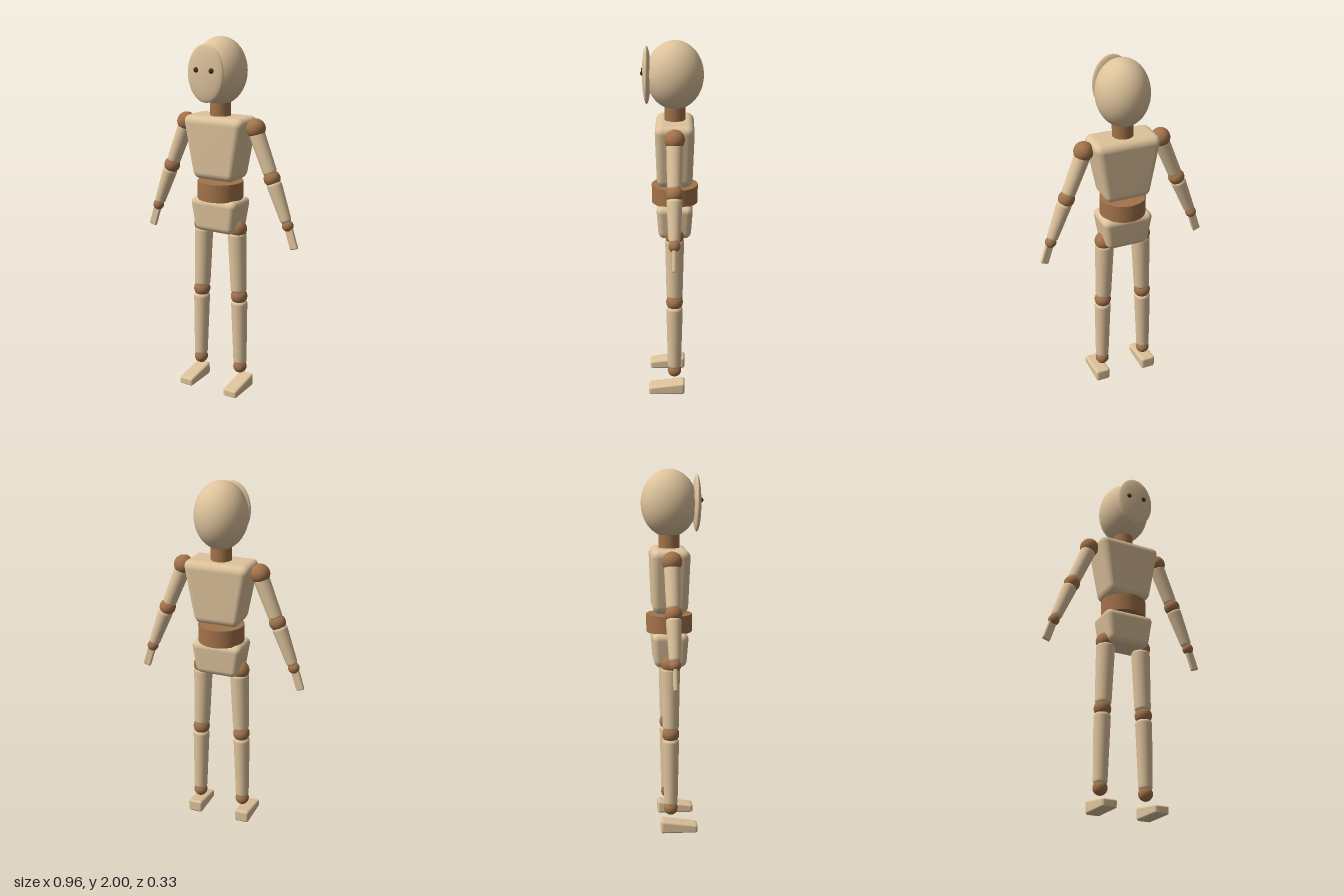
import * as THREE from 'three';
import { RoundedBoxGeometry } from 'three/addons/geometries/RoundedBoxGeometry.js';
import { mergeVertices } from 'three/addons/utils/BufferGeometryUtils.js';

const wood = new THREE.MeshStandardMaterial({ color: 0xdec39c });
const joint = new THREE.MeshStandardMaterial({ color: 0xa3734a });
const dark = new THREE.MeshStandardMaterial({ color: 0x4a3020 });
const BODY_Z = -0.014;

function add(parent, name, geometry, material, x, y, z) {
  const mesh = new THREE.Mesh(geometry, material);
  mesh.name = name;
  mesh.position.set(x, y, z);
  parent.add(mesh);
  return mesh;
}

const ball = (parent, name, r, x, y) =>
  add(parent, name, new THREE.SphereGeometry(r, 32, 20), joint, x, y, BODY_Z);

// Rounded box whose vertices are moved by a rule, then smoothed
function shapedBox(w, h, d, r, rule) {
  let g = new RoundedBoxGeometry(w, h, d, 5, r);
  g.deleteAttribute('normal');
  g.deleteAttribute('uv');
  g = mergeVertices(g, 1e-5);
  const p = g.attributes.position;
  const v = new THREE.Vector3();
  for (let i = 0; i < p.count; i++) {
    rule(v.fromBufferAttribute(p, i));
    p.setXYZ(i, v.x, v.y, v.z);
  }
  g.computeVertexNormals();
  return g;
}

// Box narrowing linearly towards its bottom
const taperedBox = (w, h, d, r, kx, kz) => shapedBox(w, h, d, r, (v) => {
  const t = 0.5 - v.y / h;
  v.x *= 1 + (kx - 1) * t;
  v.z *= 1 + (kz - 1) * t;
});

// Places a mesh modelled along y so that it runs from bottom point b to top point a
function align(mesh, a, b) {
  const dir = new THREE.Vector3(a[0] - b[0], a[1] - b[1], 0).normalize();
  mesh.quaternion.setFromUnitVectors(new THREE.Vector3(0, 1, 0), dir);
}

// Turned limb with softened ends, from a (top) to b (bottom)
function limb(parent, name, a, b, rTop, rBottom) {
  const len = Math.hypot(a[0] - b[0], a[1] - b[1]);
  const round = 0.022;
  const pts = [new THREE.Vector2(0, -len / 2)];
  for (const [r, end] of [[rBottom, -1], [rTop, 1]]) {
    for (let i = 0; i <= 6; i++) {
      const k = (end < 0 ? i : 6 - i) / 6 * Math.PI / 2;
      pts.push(new THREE.Vector2(r - round + round * Math.sin(k),
        end * (len / 2 - round + round * Math.cos(k))));
    }
  }
  pts.push(new THREE.Vector2(0, len / 2));
  const mesh = add(parent, name, new THREE.LatheGeometry(pts, 32), wood,
    (a[0] + b[0]) / 2, (a[1] + b[1]) / 2, BODY_Z);
  align(mesh, a, b);
}

function makeArm(s, side) {
  const arm = new THREE.Group();
  arm.name = side + 'Arm';
  ball(arm, 'shoulder', 0.053, s * 0.218, 1.53);
  limb(arm, 'upperArm', [s * 0.22, 1.515], [s * 0.313, 1.29], 0.043, 0.038);
  ball(arm, 'elbow', 0.045, s * 0.32, 1.272);
  limb(arm, 'forearm', [s * 0.328, 1.255], [s * 0.413, 1.038], 0.041, 0.031);
  ball(arm, 'wrist', 0.031, s * 0.419, 1.025);
  const a = [s * 0.424, 1.015], b = [s * 0.461, 0.9];
  const hand = add(arm, 'hand', new RoundedBoxGeometry(0.045, 0.122, 0.022, 3, 0.008), wood,
    (a[0] + b[0]) / 2, (a[1] + b[1]) / 2, BODY_Z);
  align(hand, a, b);
  return arm;
}

function makeLeg(s, side) {
  const leg = new THREE.Group();
  leg.name = side + 'Leg';
  ball(leg, 'hip', 0.052, s * 0.111, 0.96);
  limb(leg, 'thigh', [s * 0.108, 0.945], [s * 0.12, 0.588], 0.052, 0.045);
  ball(leg, 'knee', 0.047, s * 0.123, 0.566);
  limb(leg, 'shin', [s * 0.124, 0.542], [s * 0.132, 0.152], 0.046, 0.038);
  ball(leg, 'ankle', 0.039, s * 0.132, 0.136);
  // Foot: wedge that gets lower towards the toes
  const foot = shapedBox(0.086, 0.076, 0.206, 0.015, (v) => {
    const t = v.z / 0.206 + 0.5;
    v.y = (v.y + 0.038) * (1 - 0.42 * t);
  });
  add(leg, 'foot', foot, wood, s * 0.147, 0.003, 0.03);
  return leg;
}

export function createModel() {
  const model = new THREE.Group();
  model.name = 'jointedFigure';

  // Head with raised oval face and eyes
  const sphere = new THREE.SphereGeometry(1, 48, 32);
  add(model, 'head', sphere, wood, 0, 1.82, BODY_Z).scale.set(0.142, 0.18, 0.152);
  add(model, 'facePlate', sphere, wood, 0, 1.82, 0.135).scale.set(0.108, 0.152, 0.023);
  for (const s of [-1, 1]) {
    add(model, s > 0 ? 'leftEye' : 'rightEye', new THREE.SphereGeometry(0.015, 16, 12), dark,
      s * 0.046, 1.838, 0.151);
  }

  // Trunk
  add(model, 'neck', new THREE.CylinderGeometry(0.056, 0.056, 0.1, 32), joint, 0, 1.61, BODY_Z);
  add(model, 'chest', taperedBox(0.378, 0.348, 0.21, 0.042, 0.65, 0.9), wood, 0, 1.409, BODY_Z);
  add(model, 'waist', new THREE.CylinderGeometry(0.126, 0.126, 0.098, 48), joint, 0, 1.173, BODY_Z);
  add(model, 'pelvis', taperedBox(0.295, 0.19, 0.2, 0.036, 0.8, 0.87), wood, 0, 1.034, BODY_Z);

  // Limbs
  for (const s of [-1, 1]) {
    const side = s > 0 ? 'left' : 'right';
    model.add(makeArm(s, side), makeLeg(s, side));
  }
  return model;
}
